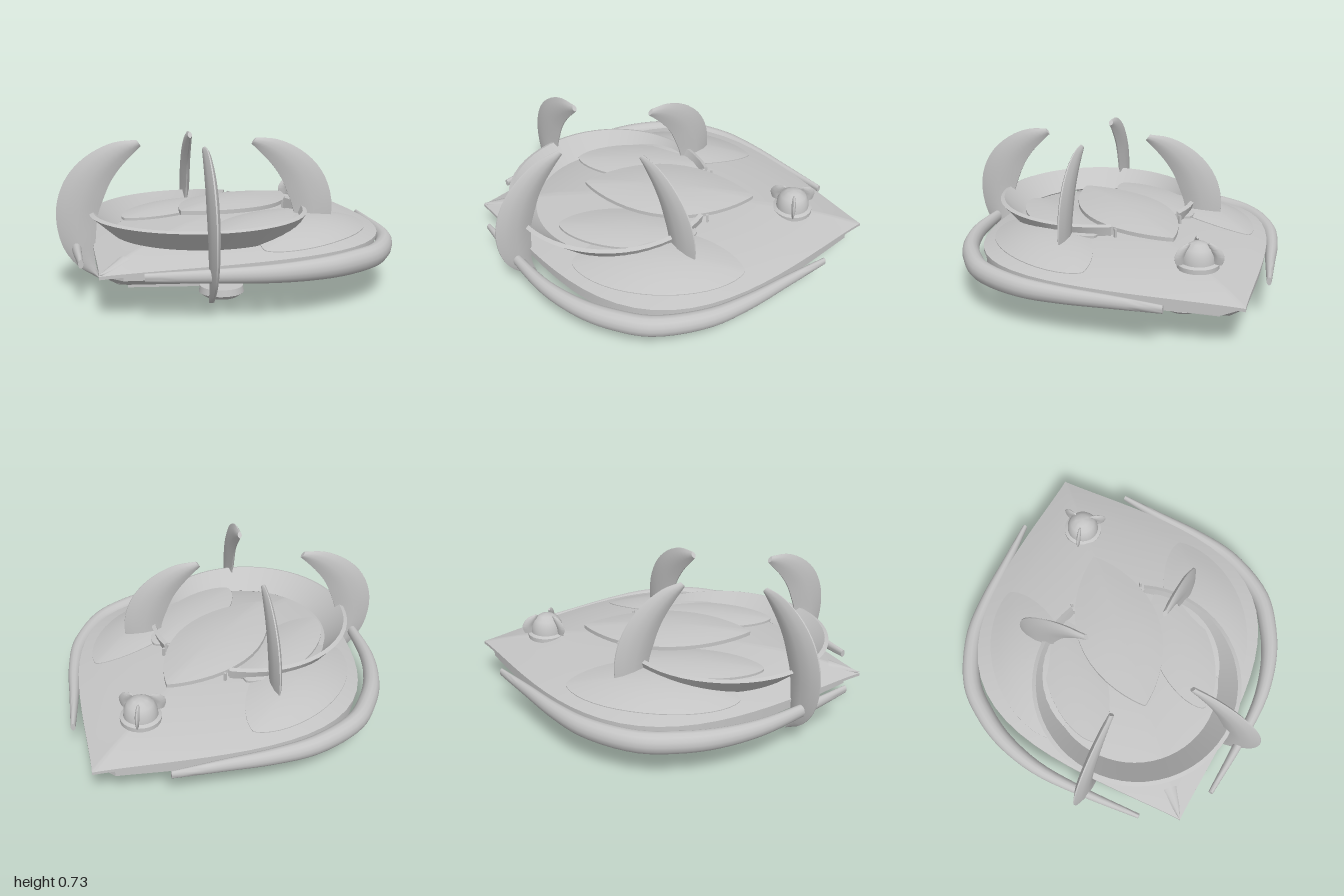
import * as THREE from 'three';
import { toCreasedNormals } from 'three/addons/utils/BufferGeometryUtils.js';

const hullGrey = new THREE.MeshStandardMaterial({ color: 0xc4c4c4, side: THREE.DoubleSide });
hullGrey.name = 'hullGrey';

const V = (x, y, z) => new THREE.Vector3(x, y, z);

// Skin a list of closed cross-section loops and cap both ends.
function loft(loops, crease = 0.6) {
  const n = loops[0].length, pos = [], index = [];
  loops.forEach(loop => loop.forEach(p => pos.push(p.x, p.y, p.z)));
  for (let r = 0; r < loops.length - 1; r++) {
    for (let i = 0; i < n; i++) {
      const a = r * n + i, b = r * n + (i + 1) % n;
      index.push(a, a + n, b, b, a + n, b + n);
    }
  }
  [0, loops.length - 1].forEach((r, end) => {
    const c = loops[r].reduce((s, p) => s.add(p), V(0, 0, 0)).divideScalar(n);
    const m = pos.length / 3;
    pos.push(c.x, c.y, c.z);
    for (let i = 0; i < n; i++) {
      const a = r * n + i, b = r * n + (i + 1) % n;
      index.push(...(end ? [m, b, a] : [m, a, b]));
    }
  });
  const geo = new THREE.BufferGeometry();
  geo.setAttribute('position', new THREE.Float32BufferAttribute(pos, 3));
  geo.setIndex(index);
  return toCreasedNormals(geo, crease);
}

// Plan outline of the hull, pointed at both ends.
const halfWidth = x => 0.755 * Math.pow(Math.max(0, Math.cos(x * Math.PI / 2)), 1.06);

// How far out a point lies: 0 at the centre, 1 on the outline.
function reach(x, z) {
  let lo = 0.001, hi = 1.5;
  for (let i = 0; i < 25; i++) {
    const t = (lo + hi) / 2;
    if (Math.abs(x) < t && Math.abs(z) < t * halfWidth(x / t)) hi = t; else lo = t;
  }
  return hi;
}

// The rim is highest amidships; the deck domes up from it and the belly bowls down.
const rimAt = x => 0.212 + 0.01 * x + 0.046 * (1 - x * x);
const deckAt = (t, x) => rimAt(x) + (0.34 - rimAt(x)) * (1 - Math.pow(Math.min(t, 1), 2.6));
const bellyAt = t => 0.012 + 0.163 * Math.pow(Math.min(t, 1), 2.1);
const deckY = (x, z) => { const t = reach(x, z); return deckAt(t, x / t); };
const bellyY = (x, z) => bellyAt(reach(x, z) / 0.985);

// Hull outline scaled in plan, cut off at the given length, with height from a rule.
function hullLoop(scale, height, maxX = 1) {
  return Array.from({ length: 72 }, (_, i) => {
    const a = i / 72 * Math.PI * 2, x = Math.cos(a);
    const px = THREE.MathUtils.clamp(x * scale, -maxX, maxX);
    return V(px, height(x), Math.sign(Math.sin(a)) * halfWidth(px / scale) * scale);
  });
}

// Leaf-shaped domed plate that follows a base surface.
function leaf(cx, cz, length, width, base, edge, dome, power = 1.8) {
  const ring = (s, lift) => Array.from({ length: 40 }, (_, i) => {
    const a = i / 40 * Math.PI * 2;
    const x = cx + length * s * Math.cos(a);
    const z = cz + width * s * Math.sign(Math.sin(a)) * Math.pow(Math.abs(Math.sin(a)), power);
    return V(x, base(x, z) + lift, z);
  });
  const top = [1, 0.8, 0.6, 0.4, 0.2, 0.02].map(s => ring(s, edge + dome * (1 - s * s)));
  return loft([ring(0.02, 0), ring(0.5, 0), ring(1, 0), ...top]);
}

// Curved blade from rows of [inner radius, inner y, outer radius, outer y], thinning to both ends.
function blade(cx, angle, rows, half) {
  const c = Math.cos(angle), s = Math.sin(angle);
  const inner = new THREE.CatmullRomCurve3(rows.map(([r, y]) => V(r, y, 0)));
  const outer = new THREE.CatmullRomCurve3(rows.map(row => V(row[2], row[3], 0)));
  const loops = Array.from({ length: 25 }, (_, i) => {
    const t = i / 24, a = inner.getPoint(t), b = outer.getPoint(t);
    const thick = half * (0.45 + 0.55 * Math.sin(t * Math.PI));
    return [[0, 0.12], [0.25, 0.8], [0.5, 1], [0.8, 0.7], [1, 0.12],
      [1, -0.12], [0.8, -0.7], [0.5, -1], [0.25, -0.8], [0, -0.12]].map(([f, k]) => {
      const p = a.clone().lerp(b, f), side = k * thick;
      return V(cx + p.x * c - side * s, p.y, p.x * s + side * c);
    });
  });
  return loft(loops, 0.8);
}

export function createModel() {
  const model = new THREE.Group();
  const add = (name, geo) => {
    const mesh = new THREE.Mesh(geo, hullGrey);
    mesh.name = name;
    model.add(mesh);
    return mesh;
  };

  // Blunt-ended lower shell and pointed upper shell
  const steps = [0.02, 0.2, 0.4, 0.6, 0.8, 0.9, 1];
  add('lowerHull', loft([...steps.map(t => hullLoop(t * 0.985, () => bellyAt(t), 0.92)),
    hullLoop(0.985, x => rimAt(x) - 0.012, 0.92)]));
  add('upperHull', loft([hullLoop(0.94, x => rimAt(x) - 0.02), hullLoop(1, x => rimAt(x) - 0.015),
    ...steps.slice().reverse().map(t => hullLoop(t, x => deckAt(t, x)))]));
  add('bellyPlate', leaf(0, 0, 0.82, 0.28, (x, z) => bellyY(x, z) - 0.012, 0.012, 0, 1.9));

  // Side rails that hug the hull and bulge amidships
  for (const side of [-1, 1]) {
    const path = new THREE.CatmullRomCurve3([[-0.92, 0.19], [-0.72, 0.42], [-0.53, 0.61], [-0.34, 0.73],
      [-0.18, 0.785], [0, 0.808], [0.25, 0.735], [0.43, 0.615], [0.62, 0.45], [0.8, 0.295]]
      .map(([x, z]) => V(x, 0.21, z * side)));
    const loops = Array.from({ length: 41 }, (_, i) => {
      const t = i / 40, p = path.getPoint(t), d = path.getTangent(t);
      const swell = Math.sin(t * Math.PI), w = 0.012 + 0.034 * swell, h = 0.02 + 0.034 * swell;
      return Array.from({ length: 14 }, (_, k) => {
        const a = k / 14 * Math.PI * 2, o = Math.cos(a) * w;
        return V(p.x - d.z * o, p.y + Math.sin(a) * h, p.z + d.x * o);
      });
    });
    add('sideRail', loft(loops, 0.9));

    // Raised shoulder and side petal
    add('shoulderPlate', leaf(-0.01, side * 0.48, 0.42, 0.2, deckY, 0.004, 0.026, 1.4));
    add('sidePetal', leaf(-0.18, side * 0.285, 0.345, 0.15, () => 0.33, 0.012, 0.02, 1.3));

    // Small prongs at the open ends of the collar
    for (const x of [0.17, 0.21]) {
      const prong = add('collarProng', new THREE.BoxGeometry(0.012, 0.07, 0.012));
      prong.position.set(x, 0.34, side * 0.19);
    }
  }

  // Flared open collar, broadest at the stern
  const collarLoops = Array.from({ length: 49 }, (_, i) => {
    const t = i / 48, a = THREE.MathUtils.lerp(0.39, Math.PI * 2 - 0.39, t);
    const lower = 0.5 - 0.105 * Math.sin(t * Math.PI);
    return [[lower + 0.015, 0.28], [0.53, 0.38], [0.51, 0.388], [lower, 0.29]]
      .map(([r, y]) => V(-0.3 + r * Math.cos(a), y, r * Math.sin(a)));
  });
  add('collar', loft(collarLoops));

  // Central petal, dipping slightly towards the bow
  add('centrePetal', leaf(0, 0, 0.435, 0.215, x => 0.36 - 0.035 * x, 0.02, 0.028));

  // Four crescent fins around the collar
  const finRows = [[0.34, 0.06, 0.345, 0.06], [0.355, 0.15, 0.41, 0.12], [0.35, 0.25, 0.46, 0.22],
    [0.34, 0.37, 0.48, 0.37], [0.32, 0.45, 0.465, 0.49], [0.295, 0.53, 0.425, 0.59],
    [0.26, 0.6, 0.36, 0.67], [0.22, 0.66, 0.28, 0.72], [0.19, 0.7, 0.205, 0.73]]
    .map(([ri, yi, ro, yo]) => [ri * Math.SQRT2, yi, ro * Math.SQRT2, yo]);
  for (let i = 0; i < 4; i++) {
    add('crescentFin', blade(-0.31, (i + 0.5) * Math.PI / 2, finRows, 0.027));
  }

  // Bow turret with three claws
  const turretProfile = [[0, 0.29], [0.1, 0.29], [0.1, 0.312], [0.083, 0.32], [0.08, 0.355],
    [0.064, 0.387], [0.035, 0.408], [0, 0.415]].map(([r, y]) => new THREE.Vector2(r, y));
  add('turretDome', toCreasedNormals(new THREE.LatheGeometry(turretProfile, 24), 0.7)).position.x = 0.64;
  const clawRows = [[0.08, 0.32, 0.12, 0.32], [0.075, 0.36, 0.13, 0.36],
    [0.06, 0.385, 0.105, 0.4], [0.045, 0.41, 0.06, 0.418]];
  for (let i = 0; i < 3; i++) {
    add('turretClaw', blade(0.64, Math.PI / 2 + i * Math.PI * 2 / 3, clawRows, 0.011));
  }

  // Landing pads
  for (const [x, z] of [[0.53, 0], [-0.48, 0.27], [-0.48, -0.27]]) {
    const rim = add('landingPad', new THREE.CylinderGeometry(0.1, 0.105, 0.03, 24));
    rim.position.set(x, 0.075, z);
    const sole = add('landingPadSole', new THREE.CylinderGeometry(0.105, 0.078, 0.02, 24));
    sole.position.set(x, 0.05, z);
  }

  // Stern and bow points
  for (const [name, dir, r, h] of [['sternCone', -1, 0.05, 0.16], ['bowCone', 1, 0.03, 0.1]]) {
    const cone = add(name, new THREE.ConeGeometry(r, h, 12));
    cone.rotation.z = -dir * Math.PI / 2;
    cone.position.set(dir * (1 - h / 2), 0.21, 0);
  }
  return model;
}
